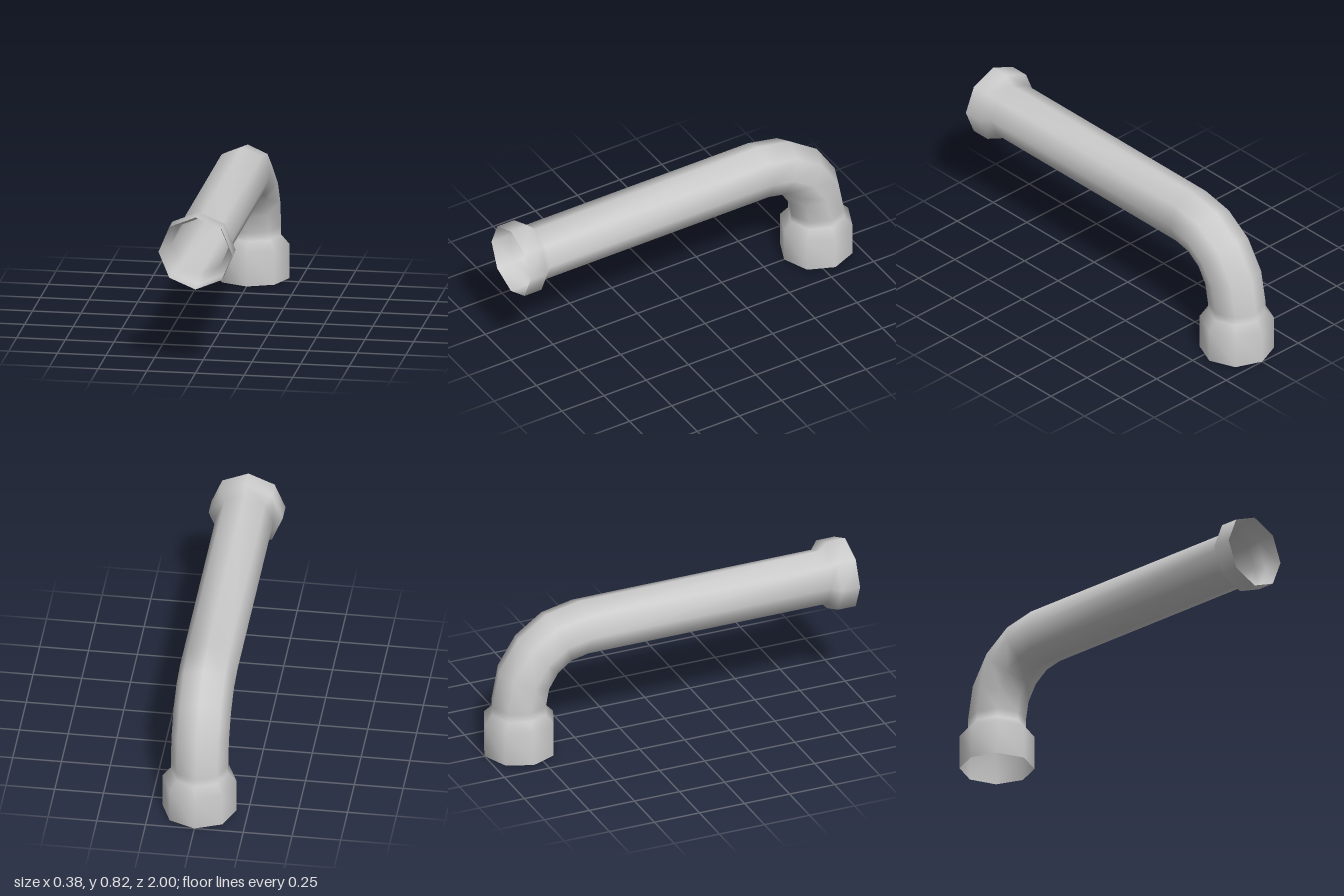
import * as THREE from 'three';

const SIDES = 8;
const PIPE_R = 0.147, COLLAR_R = 0.19;

// Skin a list of rings {y, z, tilt, r}; tilt turns the ring from facing -z to facing -y
function skinRings(rings) {
  const positions = [], index = [];
  for (const { y, z, tilt, r } of rings) {
    for (let j = 0; j < SIDES; j++) {
      const a = (j / SIDES) * Math.PI * 2;
      const out = r * Math.cos(a);
      positions.push(r * Math.sin(a), y + out * Math.cos(tilt), z - out * Math.sin(tilt));
    }
  }
  for (let i = 0; i < rings.length - 1; i++) {
    for (let j = 0; j < SIDES; j++) {
      const k = (j + 1) % SIDES;
      const a = i * SIDES + j, b = i * SIDES + k;
      index.push(a, b, a + SIDES, b, b + SIDES, a + SIDES);
    }
  }
  const geometry = new THREE.BufferGeometry();
  geometry.setAttribute('position', new THREE.Float32BufferAttribute(positions, 3));
  geometry.setIndex(index);
  geometry.computeVertexNormals();
  return geometry;
}

export function createModel() {
  const group = new THREE.Group();
  group.name = 'elbowPipe';
  const rings = [];

  // Front collar, tapering into the long straight run
  for (const [z, r] of [[1, COLLAR_R], [0.9, COLLAR_R], [0.858, PIPE_R]]) {
    rings.push({ y: 0.631, z, tilt: 0, r });
  }

  // Quarter bend from horizontal to vertical
  const steps = 4;
  for (let i = 0; i <= steps; i++) {
    const tilt = (i / steps) * Math.PI / 2;
    rings.push({
      y: 0.27 + 0.361 * Math.cos(tilt),
      z: -0.47 - 0.34 * Math.sin(tilt),
      tilt,
      r: PIPE_R,
    });
  }

  // Lower collar, open at the ground
  for (const [y, r] of [[0.225, PIPE_R], [0.18, COLLAR_R], [0, COLLAR_R]]) {
    rings.push({ y, z: -0.81, tilt: Math.PI / 2, r });
  }

  const material = new THREE.MeshStandardMaterial({ color: 0xcccccc, side: THREE.DoubleSide });
  const pipe = new THREE.Mesh(skinRings(rings), material);
  pipe.name = 'pipeWithCollars';
  group.add(pipe);
  return group;
}
